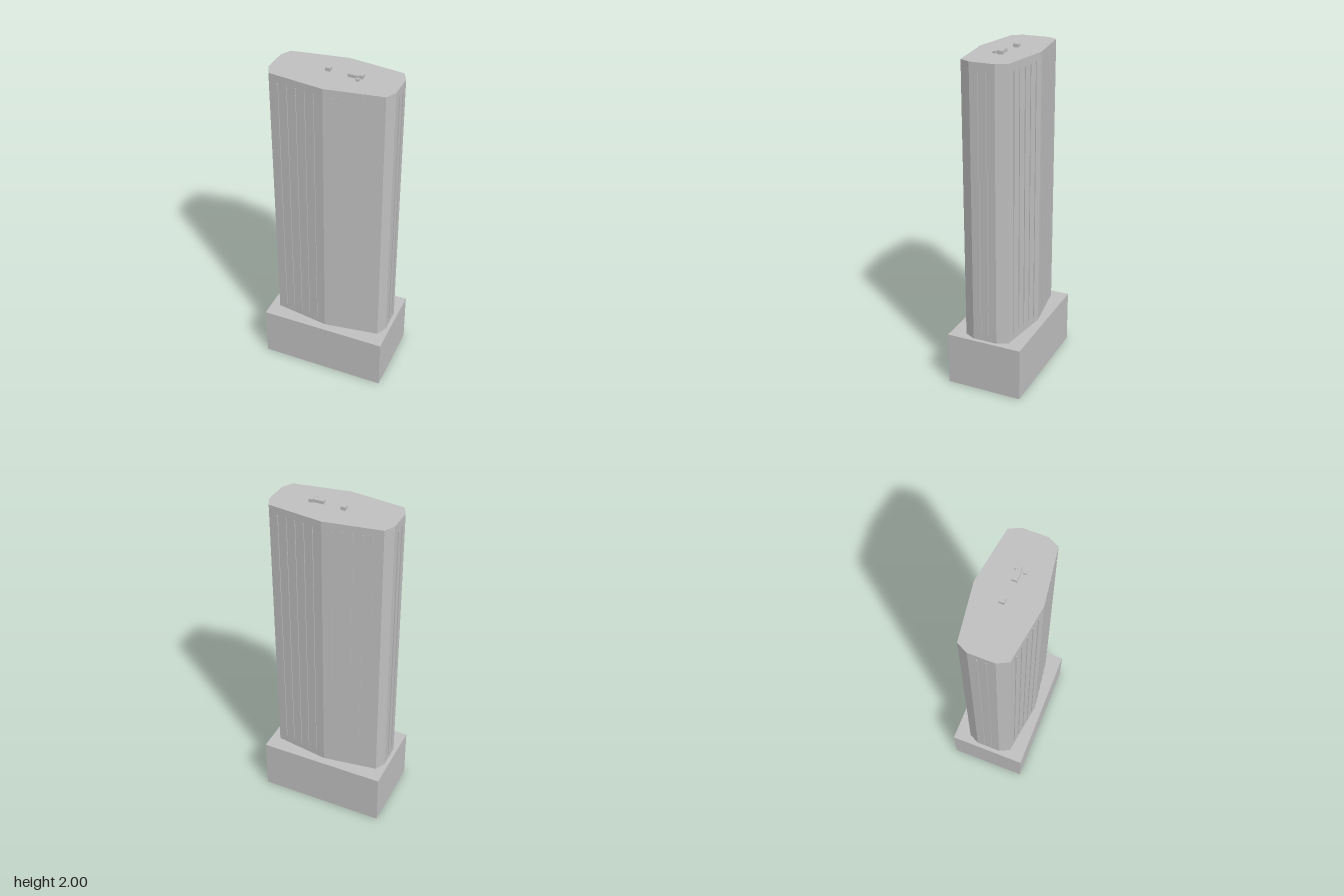
import * as THREE from 'three';

export function createModel() {
  const model = new THREE.Group();
  const concrete = new THREE.MeshStandardMaterial({ color: 0xc0c0c0, side: THREE.DoubleSide });
  concrete.name = 'concrete grey';

  const add = (name, geometry, x = 0, y = 0, z = 0) => {
    const mesh = new THREE.Mesh(geometry, concrete);
    mesh.name = name;
    mesh.position.set(x, y, z);
    model.add(mesh);
    return mesh;
  };

  // Podium: a hollow box, open underneath
  const podiumHeight = 0.325, roofHeight = 1.98;
  const podium = new THREE.BoxGeometry(0.77, podiumHeight, 0.464);
  const indices = Array.from(podium.index.array);
  indices.splice(18, 6); // drop the bottom face
  podium.setIndex(indices);
  podium.clearGroups();
  add('podium', podium, 0, podiumHeight / 2, 0);

  // Tower shaft: ten-sided plan with bevelled corners
  const quarter = [[0.361, 0.074], [0.33, 0.137]];
  const outline = [
    ...quarter, [0, 0.185],
    ...quarter.map(([x, z]) => [-x, z]).reverse(),
    ...quarter.map(([x, z]) => [-x, -z]), [0, -0.185],
    ...quarter.map(([x, z]) => [x, -z]).reverse(),
  ];
  const plan = new THREE.Shape(outline.map(([x, z]) => new THREE.Vector2(x, z)));
  const shaft = new THREE.ExtrudeGeometry(plan, { depth: roofHeight - podiumHeight, bevelEnabled: false });
  shaft.rotateX(-Math.PI / 2);
  add('towerShaft', shaft, 0, podiumHeight, 0);

  // Slender vertical fins along the two long fronts and the two ends
  const finBottom = 0.372, finTop = 1.935, finY = (finBottom + finTop) / 2;
  const longFin = new THREE.BoxGeometry(0.005, finTop - finBottom, 0.008);
  const endFin = new THREE.BoxGeometry(0.008, finTop - finBottom, 0.005);
  const slope = Math.atan2(0.048, 0.33);
  for (const side of [1, -1]) {
    for (const half of [1, -1]) {
      for (let i = 1; i <= 5; i++) {
        const x = 0.055 * i;
        const wall = 0.185 - x * Math.tan(slope);
        add('facadeFin', longFin, half * x, finY, side * (wall + 0.001)).rotation.y = half * side * slope;
      }
      add('endFin', endFin, side * 0.363, finY, half * 0.0245);
    }
  }

  // Rooftop plant: x range, z range, top
  const plant = [
    ['roofHatch', -0.064, -0.037, -0.03, 0.001, 2],
    ['plantRoom', 0.07, 0.135, -0.013, 0.016, 1.998],
    ['liftHousing', 0.13, 0.153, -0.022, 0.012, 2],
    ['ventBox', 0.124, 0.143, 0.026, 0.042, 1.993],
  ];
  for (const [name, x0, x1, z0, z1, top] of plant) {
    const box = new THREE.BoxGeometry(x1 - x0, top - roofHeight, z1 - z0);
    add(name, box, (x0 + x1) / 2, (top + roofHeight) / 2, (z0 + z1) / 2);
  }

  return model;
}
